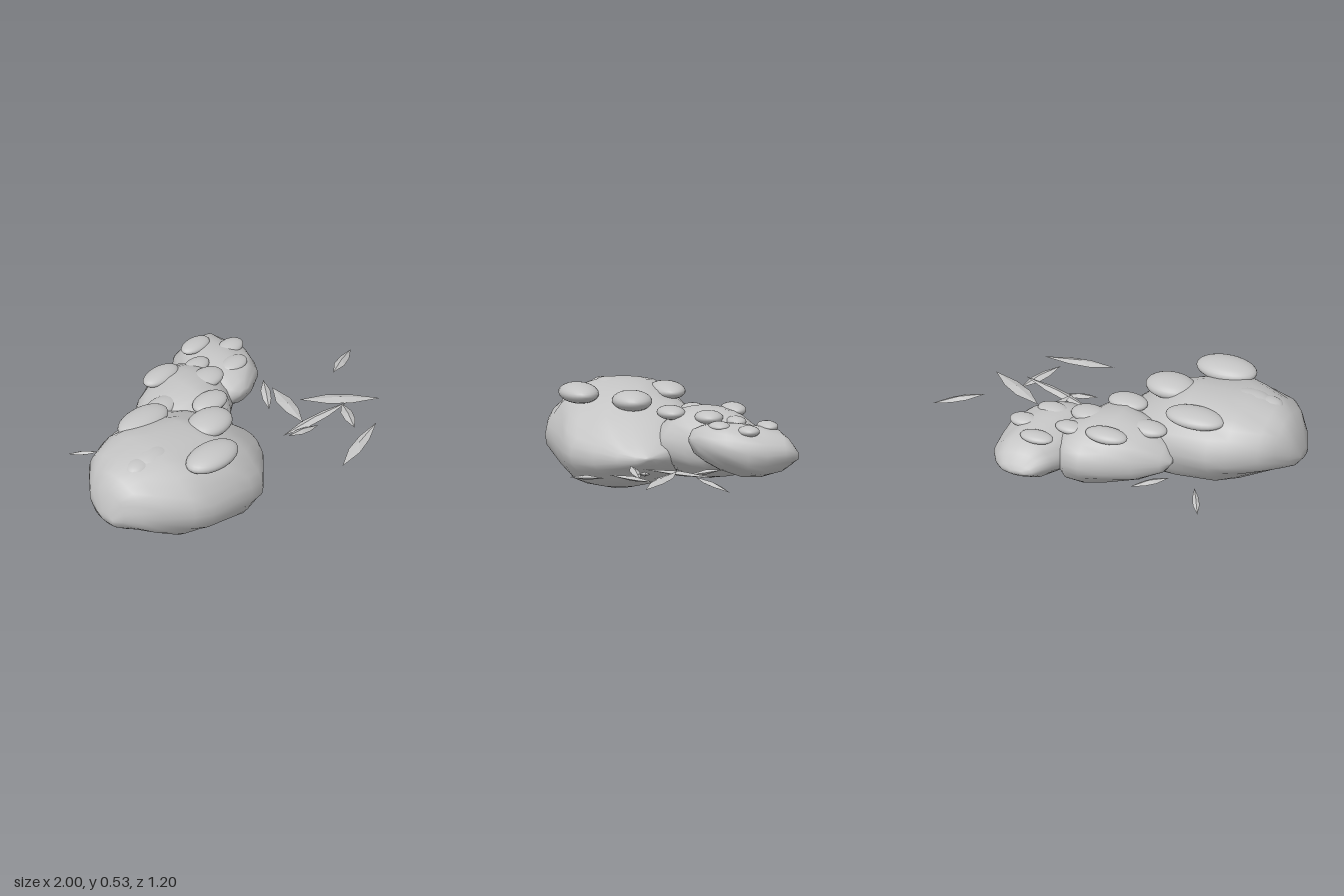
import * as THREE from 'three';

const grey = new THREE.MeshStandardMaterial({ color: 0xc4c4c4, side: THREE.DoubleSide });
grey.name = 'stone grey';

// Rock lofted through stations: [position along, yLow, yHigh, sideLow, sideHigh]; lean lowers the sideHigh flank
function rock(name, stations, alongZ, seed, lean = 0) {
  const seg = 28, pos = [], idx = [];
  const put = (along, y, side) => alongZ ? pos.push(side, y, along) : pos.push(along, y, side);
  stations.forEach(([a, y0, y1, s0, s1], i) => {
    for (let j = 0; j < seg; j++) {
      const t = j / seg * Math.PI * 2;
      // gentle lumps that vanish at the four extremes
      const lump = 1 + 0.04 * Math.sin(2 * t) ** 2 * Math.sin(t * 6 + i * 1.7 + seed);
      put(a, (y0 + y1) / 2 + (y1 - y0) / 2 * (Math.sin(t) * lump - lean * Math.cos(t)),
        (s0 + s1) / 2 + (s1 - s0) / 2 * Math.cos(t) * lump);
    }
  });
  const n = stations.length;
  for (let i = 0; i < n - 1; i++) {
    for (let j = 0; j < seg; j++) {
      const a = i * seg + j, b = i * seg + (j + 1) % seg;
      idx.push(a, a + seg, b, b, a + seg, b + seg);
    }
  }
  // closed ends
  for (const i of [0, n - 1]) {
    const [a, y0, y1, s0, s1] = stations[i];
    const c = pos.length / 3;
    put(a, (y0 + y1) / 2, (s0 + s1) / 2);
    for (let j = 0; j < seg; j++) {
      const p = i * seg + j, q = i * seg + (j + 1) % seg;
      if (i === 0) idx.push(c, p, q);
      else idx.push(c, q, p);
    }
  }
  const g = new THREE.BufferGeometry();
  g.setAttribute('position', new THREE.Float32BufferAttribute(pos, 3));
  g.setIndex(idx);
  g.computeVertexNormals();
  const mesh = new THREE.Mesh(g, grey);
  mesh.name = name;
  return mesh;
}

// Pointed leaf, a thin lens with a raised middle above and below, from tip to tip
function leaf(x1, y1, z1, x2, y2, z2, width) {
  const a = new THREE.Vector3(x1, y1, z1), b = new THREE.Vector3(x2, y2, z2);
  const side = new THREE.Vector3(z1 - z2, 0, x2 - x1).normalize().multiplyScalar(width / 2);
  const at = (t, s, lift) => a.clone().lerp(b, t).addScaledVector(side, s).add(new THREE.Vector3(0, lift, 0));
  const rim = [a, at(0.35, 1, 0), at(0.65, 0.9, 0), b, at(0.65, -0.9, 0), at(0.35, -1, 0)];
  const top = at(0.5, 0, 0.014), bottom = at(0.5, 0, -0.012), pts = [];
  rim.forEach((p, i) => {
    const q = rim[(i + 1) % 6];
    pts.push(top, q, p, bottom, p, q);
  });
  const g = new THREE.BufferGeometry().setFromPoints(pts);
  g.computeVertexNormals();
  const mesh = new THREE.Mesh(g, grey);
  mesh.name = 'leaf';
  return mesh;
}

export function createModel() {
  const model = new THREE.Group();
  model.name = 'mossyRocks';

  // Three overlapping boulders
  model.add(rock('largeRock', [
    [-1.0, 0.22, 0.27, 0.08, 0.18], [-0.975, 0.19, 0.39, -0.01, 0.24],
    [-0.92, 0.165, 0.46, -0.07, 0.32], [-0.85, 0.135, 0.5, -0.14, 0.395],
    [-0.7, 0.07, 0.525, -0.21, 0.48], [-0.6, 0.045, 0.52, -0.235, 0.515],
    [-0.4, 0.012, 0.505, -0.22, 0.505], [-0.3, 0.002, 0.465, -0.215, 0.5],
    [-0.2, 0.02, 0.42, -0.19, 0.48], [-0.1, 0.06, 0.36, -0.14, 0.385],
    [0, 0.125, 0.275, -0.06, 0.285], [0.05, 0.16, 0.235, 0.03, 0.2],
    [0.07, 0.19, 0.21, 0.1, 0.15],
  ], false, 0, 0.14));
  model.add(rock('middleRock', [
    [-0.41, 0.24, 0.27, -0.25, -0.18], [-0.37, 0.18, 0.34, -0.3, -0.08],
    [-0.25, 0.12, 0.42, -0.39, 0], [-0.1, 0.09, 0.45, -0.46, 0.055],
    [0.01, 0.085, 0.44, -0.49, 0.05], [0.1, 0.1, 0.41, -0.475, -0.05],
    [0.17, 0.13, 0.37, -0.4, -0.1], [0.24, 0.2, 0.28, -0.28, -0.16],
  ], false, 2));
  model.add(rock('smallRock', [
    [-0.055, 0.29, 0.33, 0.17, 0.24], [-0.08, 0.24, 0.37, 0.115, 0.3],
    [-0.13, 0.2, 0.39, 0.08, 0.38], [-0.2, 0.16, 0.405, 0.07, 0.43],
    [-0.3, 0.125, 0.4, 0.08, 0.475], [-0.4, 0.12, 0.385, 0.09, 0.48],
    [-0.5, 0.15, 0.365, 0.145, 0.47], [-0.55, 0.18, 0.32, 0.18, 0.44],
    [-0.585, 0.205, 0.27, 0.22, 0.4], [-0.6, 0.22, 0.245, 0.26, 0.34],
  ], true, 4));

  // Moss cushions: x, y, z, then radii
  const cushion = new THREE.SphereGeometry(1, 28, 16);
  [
    [-0.465, 0.48, 0.37, 0.165, 0.053, 0.1], [-0.25, 0.46, 0.14, 0.135, 0.053, 0.102],
    [-0.49, 0.475, -0.105, 0.162, 0.045, 0.09], [-0.69, 0.482, 0.15, 0.12, 0.042, 0.085],
    [-0.79, 0.475, 0.155, 0.08, 0.037, 0.065],
    [-0.1, 0.42, -0.36, 0.115, 0.035, 0.063], [-0.08, 0.417, -0.025, 0.107, 0.036, 0.072],
    [0.065, 0.407, -0.19, 0.1, 0.035, 0.072], [-0.265, 0.4, -0.19, 0.1, 0.035, 0.065],
    [0.12, 0.388, -0.32, 0.08, 0.028, 0.052], [0.25, 0.378, -0.455, 0.09, 0.027, 0.053],
    [0.375, 0.372, -0.325, 0.077, 0.029, 0.055], [0.27, 0.388, -0.195, 0.08, 0.025, 0.055],
  ].forEach(([x, y, z, rx, ry, rz]) => {
    const m = new THREE.Mesh(cushion, grey);
    m.name = 'mossCushion';
    m.position.set(x, y, z);
    m.scale.set(rx, ry, rz);
    model.add(m);
  });

  // Scattered fallen leaves, some tucked against the rocks
  [
    [0.46, 0.19, -0.17, 0.34, 0.15, -0.01, 0.05], [0.485, 0.15, -0.13, 0.345, 0.19, 0.23, 0.08],
    [0.47, 0.19, 0.08, 0.81, 0.15, 0.33, 0.08], [0.23, 0.15, 0.2, 0.62, 0.2, 0.28, 0.06],
    [0.21, 0.19, 0.26, 0.42, 0.15, 0.265, 0.05], [0.63, 0.16, 0.23, 0.5, 0.19, 0.45, 0.06],
    [0.75, 0.2, 0.05, 1, 0.15, -0.07, 0.055], [0.26, 0.15, 0.6, 0.61, 0.19, 0.5, 0.065],
    [-0.66, 0.15, -0.48, -0.58, 0.2, -0.33, 0.035], [-0.4, 0.16, -0.24, -0.24, 0.15, -0.38, 0.05],
    [-0.42, 0.16, 0.38, -0.34, 0.15, 0.49, 0.05],
  ].forEach((l) => model.add(leaf(...l)));

  return model;
}
